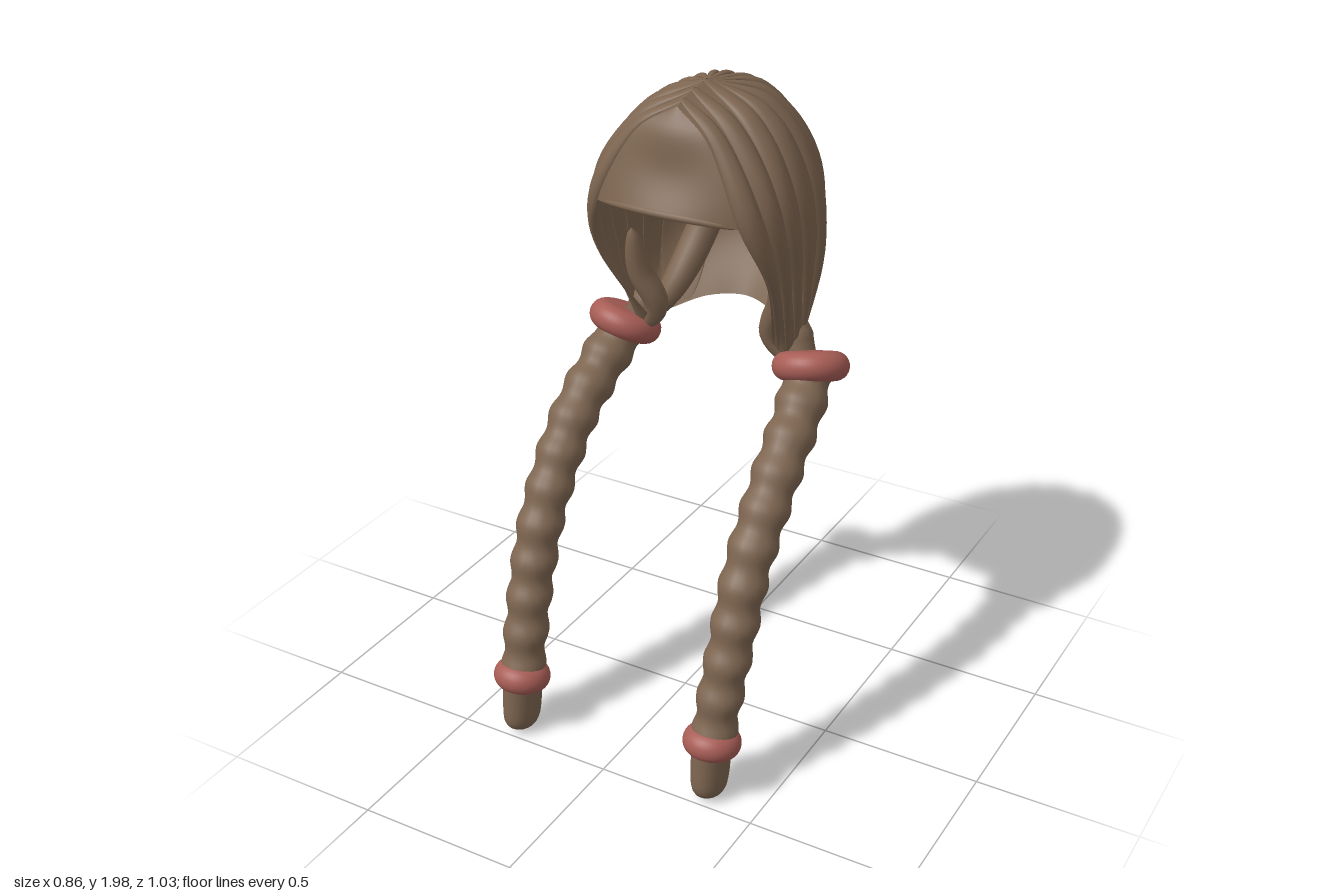
import * as THREE from 'three';

const V = (x, y, z) => new THREE.Vector3(x, y, z);
const hair = new THREE.MeshStandardMaterial({ color: 0x7d6550, side: THREE.DoubleSide });
hair.name = 'brown hair';
const band = new THREE.MeshStandardMaterial({ color: 0xa85d56 });
band.name = 'dusty red band';

// Surface from rows of points; wrapped rows close into rings
function grid(fn, rows, cols, wrap) {
  const pos = [], idx = [], n = wrap ? cols : cols + 1;
  for (let i = 0; i <= rows; i++)
    for (let j = 0; j < n; j++) pos.push(...fn(i / rows, j / cols).toArray());
  for (let i = 0; i < rows; i++)
    for (let j = 0; j < cols; j++) {
      const a = i * n + j, b = i * n + (j + 1) % n;
      idx.push(a, b, a + n, b, b + n, a + n);
    }
  const g = new THREE.BufferGeometry();
  g.setAttribute('position', new THREE.Float32BufferAttribute(pos, 3));
  g.setIndex(idx);
  g.computeVertexNormals();
  return g;
}

function add(parent, name, geometry, material) {
  const m = new THREE.Mesh(geometry, material);
  m.name = name;
  parent.add(m);
  return m;
}

// Tube with a radius that varies along its length and around it
function sweep(points, rows, cols, radius) {
  const curve = new THREE.CatmullRomCurve3(points);
  const f = curve.computeFrenetFrames(rows);
  return grid((t, s) => {
    const i = Math.round(t * rows), a = s * Math.PI * 2, r = radius(t, a);
    return curve.getPointAt(t)
      .addScaledVector(f.normals[i], Math.cos(a) * r)
      .addScaledVector(f.binormals[i], Math.sin(a) * r);
  }, rows, cols, true);
}

// Hair flow lines on the left half, from the parting to the gather, front to back
const flow = [
  [[0, 1.955, 0.045], [0.12, 1.87, 0.08], [0.225, 1.66, 0.105], [0.275, 1.46, 0.02], [0.2, 1.17, -0.17]],
  [[0, 1.975, -0.04], [0.145, 1.885, 0.0], [0.262, 1.69, 0.015], [0.285, 1.44, -0.06], [0.25, 1.16, -0.16]],
  [[0, 1.985, -0.13], [0.16, 1.895, -0.11], [0.27, 1.69, -0.1], [0.287, 1.42, -0.15], [0.275, 1.16, -0.195]],
  [[0, 1.985, -0.13], [0.15, 1.905, -0.21], [0.258, 1.69, -0.25], [0.283, 1.42, -0.25], [0.265, 1.16, -0.24]],
  [[0, 1.985, -0.13], [0.115, 1.915, -0.28], [0.21, 1.7, -0.37], [0.235, 1.42, -0.37], [0.205, 1.18, -0.27]],
  [[0, 1.985, -0.13], [0.065, 1.925, -0.32], [0.12, 1.7, -0.452], [0.14, 1.42, -0.44], [0.11, 1.22, -0.33]],
  [[0, 1.985, -0.13], [0, 1.925, -0.33], [0, 1.7, -0.49], [0, 1.44, -0.48], [0, 1.23, -0.37]],
];
const lines = [];
for (let i = 0; i <= 12; i++) {
  const side = i > 6 ? -1 : 1;
  lines.push(new THREE.CatmullRomCurve3(
    flow[i > 6 ? 12 - i : i].map(([x, y, z]) => V(x * side, y, z)), false, 'catmullrom'));
}
const sections = new Map();
function scalp(u, v) {
  if (!sections.has(v)) sections.set(v, new THREE.CatmullRomCurve3(
    lines.map(l => l.getPoint(v / 4)), false, 'catmullrom'));
  return sections.get(v).getPoint(THREE.MathUtils.clamp(u / 12, 0, 1));
}
const middle = V(0, 1.5, -0.17);

// Raised lock following a flow line, nearly flat on its inner side
function lock(u, w, v0, v1, height) {
  return grid((t, s) => {
    const v = v0 + (v1 - v0) * t, a = s * Math.PI * 2;
    const taper = Math.pow(Math.max(Math.sin(Math.PI * (0.04 + t * 0.96)), 0), 0.5);
    const c = scalp(u, v);
    const across = scalp(u + w * taper, v).sub(scalp(u - w * taper, v));
    const along = scalp(u, Math.min(v + 0.04, 4)).sub(scalp(u, Math.max(v - 0.04, 0)));
    const n = across.clone().cross(along).normalize();
    if (n.dot(c.sub(middle)) < 0) n.negate();
    const h = Math.min(height, across.length() * 0.36) * taper * (a > Math.PI ? 0.15 : 1);
    return scalp(u + w * taper * Math.cos(a), v).addScaledVector(n, h * Math.sin(a));
  }, 28, 14, true);
}

function buildCap() {
  const cap = new THREE.Group();
  cap.name = 'hairCap';
  add(cap, 'scalpShell', grid((t, s) => scalp(s * 12, t * 4), 28, 72), hair);

  // Long locks around the head
  [0.4, 1.1, 1.8, 2.5, 3.25, 4, 4.75, 5.5].forEach((u, i) => {
    const end = u < 3.5 ? 3.95 : 2.85 + (i % 2) * 0.3;
    for (const k of [u, 12 - u]) add(cap, 'lock', lock(k, 0.39, 0, end, 0.033), hair);
  });

  // Short locks low at the back, swept to the gathers
  for (const [u, v] of [[3.9, 2.4], [4.5, 2.7]])
    for (const k of [u, 12 - u]) add(cap, 'napeLock', lock(k, 0.36, v, 3.98, 0.02), hair);

  // Fringe between the two front edges
  const mid = new THREE.CatmullRomCurve3(
    [V(0, 1.955, 0.045), V(0, 1.89, 0.09), V(0, 1.78, 0.112), V(0, 1.68, 0.163)]);
  const fringe = (t, s) => {
    const e = lines[0].getPoint(t / 2), m = mid.getPoint(t), k = s * 2 - 1;
    return V(e.x * k, m.y + (e.y - m.y) * k * k, m.z + (e.z - m.z) * k * k);
  };
  add(cap, 'fringe', grid(fringe, 16, 24), hair);
  const rim = [];
  for (let i = 0; i <= 10; i++) rim.push(fringe(1, i / 10).add(V(0, 0, -0.008)));
  add(cap, 'fringeRim', sweep(rim, 24, 8, t => 0.012 * Math.pow(Math.max(Math.sin(Math.PI * t), 0), 0.3)), hair);

  // Inner strands gathered towards each braid
  for (const s of [1, -1]) {
    const strands = [
      [V(s * 0.06, 1.7, -0.43), V(s * 0.14, 1.45, -0.38), V(s * 0.19, 1.26, -0.26), V(s * 0.26, 1.14, -0.2)],
      [V(s * 0.24, 1.5, -0.1), V(s * 0.235, 1.35, -0.14), V(s * 0.195, 1.23, -0.17), V(s * 0.26, 1.13, -0.18)],
    ];
    strands.forEach((p, i) => add(cap, 'innerStrand', sweep(p, 20, 10,
      t => (i ? 0.04 : 0.05) * Math.pow(Math.max(Math.sin(Math.PI * t), 0), 0.5)), hair));
    add(cap, 'gather', sweep([V(s * 0.245, 1.3, -0.22), V(s * 0.255, 1.22, -0.21), V(s * 0.285, 1.13, -0.19)],
      12, 16, t => 0.052 * Math.sqrt(Math.min(1, t * 2.5))), hair);
  }
  return cap;
}

// Solid rounded disc, slightly domed
function bandGeometry(radius, half) {
  const profile = [new THREE.Vector2(0, -half * 1.08)];
  for (let i = 0; i <= 14; i++) {
    const a = (i / 14 - 0.5) * Math.PI;
    profile.push(new THREE.Vector2(radius - half + Math.cos(a) * half, Math.sin(a) * half));
  }
  profile.push(new THREE.Vector2(0, half * 1.08));
  return new THREE.LatheGeometry(profile, 40);
}

function buildBraid(side) {
  const braid = new THREE.Group();
  braid.name = side > 0 ? 'leftBraid' : 'rightBraid';
  const P = (x, y, z) => V(x * side, y, z);

  // Rope with slightly slanted bulges
  const path = [P(0.315, 1.14, -0.185), P(0.335, 1.05, -0.08), P(0.347, 0.93, 0.07), P(0.347, 0.7, 0.25),
    P(0.345, 0.5, 0.335), P(0.338, 0.33, 0.39), P(0.333, 0.17, 0.43)];
  add(braid, 'braidRope', sweep(path, 110, 20, (t, a) =>
    (0.073 - 0.009 * t) * (1 + 0.085 * Math.cos(Math.PI * 21 * t + 0.8 * Math.sin(a)))), hair);

  // Rounded loose end, deeper than wide
  const tip = grid((t, s) => {
    const a = s * Math.PI * 2;
    const r = (1 - 0.08 * t) * Math.pow(Math.max(1 - Math.pow(t, 9), 0), 0.5);
    return P(0.332 + 0.056 * r * Math.cos(a), 0.2 - 0.193 * t + 0.01 * t * Math.sin(a) * r,
      0.425 + 0.02 * t + 0.075 * r * Math.sin(a));
  }, 24, 20, true);
  add(braid, 'braidTip', tip, hair);

  // Bands at both ends
  const bands = [
    ['upperBand', P(0.318, 1.145, -0.187), P(-0.2, 0.9, -0.36), 0.115, 0.044],
    ['lowerBand', P(0.333, 0.193, 0.428), P(0, 0.97, -0.2), 0.087, 0.044],
  ];
  for (const [name, at, axis, radius, half] of bands) {
    const m = add(braid, name, bandGeometry(radius, half), band);
    m.position.copy(at);
    m.quaternion.setFromUnitVectors(V(0, 1, 0), axis.normalize());
  }
  return braid;
}

export function createModel() {
  const model = new THREE.Group();
  model.name = 'braidedHair';
  model.add(buildCap(), buildBraid(1), buildBraid(-1));
  return model;
}
